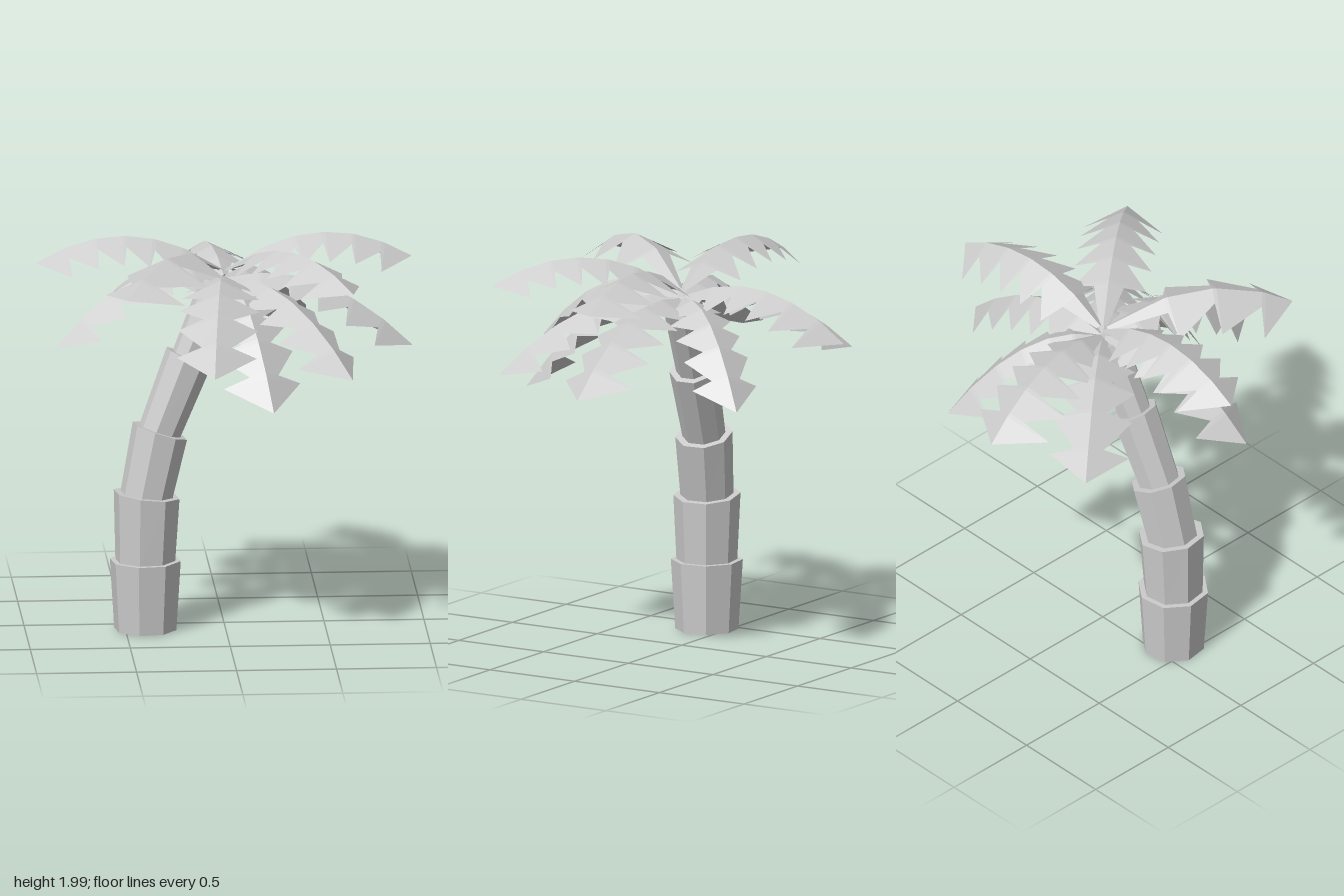
import * as THREE from 'three';

const bark = new THREE.MeshStandardMaterial({ color: 0xcccccc, flatShading: true });
const leaf = new THREE.MeshStandardMaterial({ color: 0xcccccc, flatShading: true, side: THREE.DoubleSide });

// Trunk joints: centre and lean of the ring there
const joints = [
  [[-0.4, 0, 0.105], 0], [[-0.4, 0.355, 0.105], 0], [[-0.393, 0.69, 0.1], 0.12],
  [[-0.325, 1.01, 0.075], 0.32], [[-0.18, 1.375, 0.045], 0.47], [[-0.02, 1.75, 0.01], 0.4],
].map(([p, lean]) => ({
  centre: new THREE.Vector3(...p),
  turn: new THREE.Quaternion().setFromAxisAngle(new THREE.Vector3(-0.2, 0, -0.98).normalize(), lean),
}));

// One flared trunk section whose end rings follow the lean of its joints
function trunkSection(from, to, rBottom, rTop) {
  const geo = new THREE.CylinderGeometry(rTop, rBottom, 1, 8).rotateY(0.54);
  const pos = geo.attributes.position, v = new THREE.Vector3();
  for (let i = 0; i < pos.count; i++) {
    const joint = pos.getY(i) > 0 ? to : from;
    v.set(pos.getX(i), 0, pos.getZ(i)).applyQuaternion(joint.turn).add(joint.centre);
    pos.setXYZ(i, v.x, v.y, v.z);
  }
  geo.computeVertexNormals();
  return new THREE.Mesh(geo, bark);
}

// Arched, roof-folded leaf with saw-toothed edges; y0 and lift are its height and slope at the crown
function frond([tx, ty, tz], y0, lift, teeth, width, start) {
  const reach = Math.hypot(tx, tz);
  const side = new THREE.Vector3(-tz / reach, 0, tx / reach);
  const spine = t => new THREE.Vector3(tx * t, y0 + lift * t - (y0 + lift - ty) * t * t, tz * t);

  // Rows of [position along the spine, half width], crown to tip;
  // each tooth flares at its inner end and tapers outwards
  const rows = [[0.02, 0.02]];
  const end = 0.86;
  for (let i = 0; i < teeth; i++) {
    const t = start + (end - start) * i / (teeth - 1);
    rows.push([t - 0.02, 0.075], [t, width * (0.85 + 0.15 * Math.min(1, t / 0.5))]);
  }
  rows.push([1, 0.004]);

  const sections = rows.map(([t, w]) => {
    const mid = spine(t);
    const along = spine(t + 0.01).sub(spine(t - 0.01)).normalize();
    const down = new THREE.Vector3().crossVectors(side, along).normalize();
    if (down.y > 0) down.negate();
    const edge = s => mid.clone().addScaledVector(side, s * w).addScaledVector(down, w * 0.5);
    return [edge(-1), mid, edge(1)];
  });
  const pos = [];
  for (let i = 0; i < sections.length - 1; i++) {
    const p = sections[i], q = sections[i + 1];
    for (let k = 0; k < 2; k++) {
      // split each quad so that its diagonal starts on the spine
      const quad = k === 0 ? [p[0], p[1], q[0], p[1], q[1], q[0]] : [p[1], p[2], q[2], p[1], q[2], q[1]];
      for (const v of quad) pos.push(v.x, v.y, v.z);
    }
  }
  const geo = new THREE.BufferGeometry();
  geo.setAttribute('position', new THREE.Float32BufferAttribute(pos, 3));
  geo.computeVertexNormals();
  return new THREE.Mesh(geo, leaf);
}

export function createModel() {
  const model = new THREE.Group();

  // Leaning trunk of stacked sections
  const trunk = new THREE.Group();
  trunk.name = 'trunk';
  const radii = [[0.158, 0.18], [0.152, 0.168], [0.133, 0.144], [0.108, 0.122], [0.088, 0.1]];
  radii.forEach(([rb, rt], i) => {
    const section = trunkSection(joints[i], joints[i + 1], rb, rt);
    section.name = 'trunkSection' + (i + 1);
    trunk.add(section);
  });
  model.add(trunk);

  // Crown: [tip, height at crown, lift, teeth, half width, first tooth]
  const crown = new THREE.Group();
  crown.name = 'crown';
  const fronds = [
    // upper fronds
    [[0.94, 1.86, -0.05], 1.81, 0.68, 5, 0.21, 0.22],
    [[-0.94, 1.86, -0.01], 1.81, 0.68, 5, 0.21, 0.22],
    [[-0.53, 1.86, 0.8], 1.81, 0.68, 3, 0.23, 0.34],
    [[0.6, 1.86, 0.74], 1.81, 0.68, 5, 0.2, 0.25],
    // middle and drooping fronds
    [[-0.12, 1.62, -0.88], 1.78, 0.45, 5, 0.22, 0.2],
    [[-0.1, 1.47, 0.88], 1.77, 0.45, 5, 0.2, 0.2],
    [[0.94, 1.42, 0.02], 1.77, 0.25, 5, 0.2, 0.2],
    [[-0.85, 1.47, 0.18], 1.77, 0.43, 5, 0.18, 0.2],
    [[0.47, 1.35, -0.62], 1.77, 0.25, 5, 0.17, 0.2],
    [[-0.56, 1.5, -0.65], 1.77, 0.3, 4, 0.2, 0.25],
    [[0.2, 1.27, 0.79], 1.77, 0.2, 5, 0.2, 0.2],
    [[0.6, 1.41, 0.7], 1.77, 0.25, 5, 0.19, 0.2],
  ];
  fronds.forEach((f, i) => {
    const mesh = frond(...f);
    mesh.name = 'frond' + (i + 1);
    crown.add(mesh);
  });
  model.add(crown);
  return model;
}
